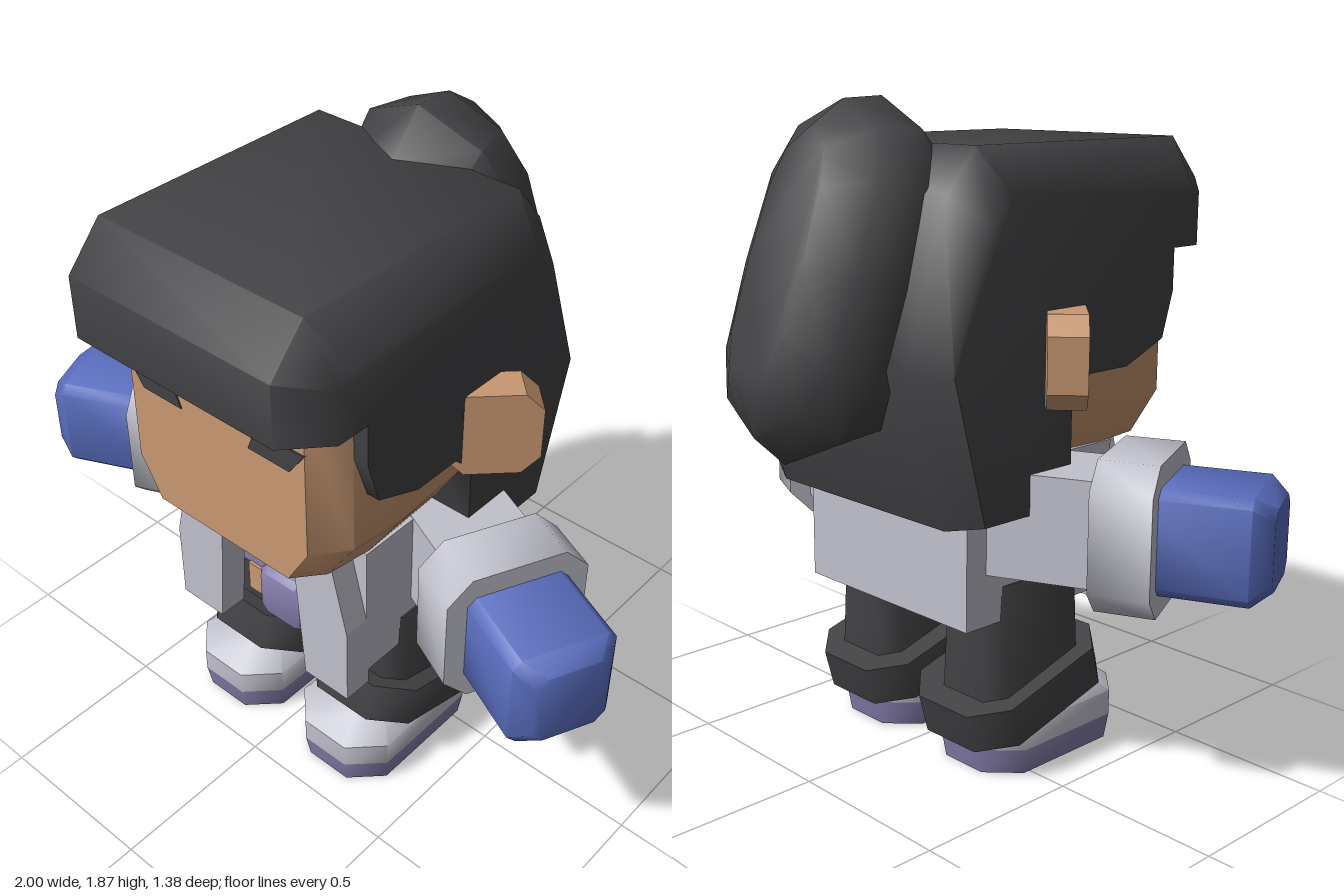
import * as THREE from 'three';
import { toCreasedNormals } from 'three/addons/utils/BufferGeometryUtils.js';

const material = (name, color) => Object.assign(new THREE.MeshStandardMaterial({ color }), { name });

// Rectangle with cut corners, half sizes a and b, corner cut c
const oct = (a, b, c) => [
  [a, c - b], [a, b - c], [a - c, b], [c - a, b],
  [-a, b - c], [-a, c - b], [c - a, -b], [a - c, -b],
];

// Skins a stack of equal-count outlines [depth, points] along +z and caps both ends
function loft(rings, crease = 0.9) {
  const flip = THREE.ShapeUtils.isClockWise(rings[0][1].map(([x, y]) => ({ x, y })));
  const loops = rings.map(([d, p]) => (flip ? [...p].reverse() : p).map(([x, y]) => new THREE.Vector3(x, y, d)));
  const n = loops[0].length;
  const index = [];
  for (let r = 0; r < loops.length - 1; r++) {
    for (let i = 0; i < n; i++) {
      const j = (i + 1) % n, a = r * n, b = a + n;
      index.push(a + i, a + j, b + j, a + i, b + j, b + i);
    }
  }
  const last = (loops.length - 1) * n;
  for (const [a, b, c] of THREE.ShapeUtils.triangulateShape(loops[0], [])) index.push(c, b, a);
  for (const [a, b, c] of THREE.ShapeUtils.triangulateShape(loops[loops.length - 1], [])) {
    index.push(last + a, last + b, last + c);
  }
  const g = new THREE.BufferGeometry().setFromPoints(loops.flat());
  g.setIndex(index);
  return toCreasedNormals(g, crease);
}

// Same, stacked upwards along y
const loftY = (rings) => loft(rings).rotateX(-Math.PI / 2);

const plate = (points, depth) => new THREE.ExtrudeGeometry(
  new THREE.Shape(points.map(([x, y]) => new THREE.Vector2(x, y))), { depth, bevelEnabled: false });

export function createModel() {
  const dark = material('charcoal', 0x424245);
  const skin = material('skin', 0xc99872);
  const coat = material('paleGrey', 0xc1c1cd);
  const blue = material('blue', 0x586cbd);
  const purple = material('mutedPurple', 0x8680ad);

  const model = new THREE.Group();
  model.name = 'figure';
  const add = (name, geometry, mat, x = 0, y = 0, z = 0, parent = model) => {
    const mesh = new THREE.Mesh(geometry, mat);
    mesh.name = name;
    mesh.position.set(x, y, z);
    parent.add(mesh);
    return mesh;
  };
  const box = (name, mat, [w, h, d], [x, y, z]) => add(name, new THREE.BoxGeometry(w, h, d), mat, x, y, z);

  // Hair: side profile (z, y), drawn in at the outer cheeks
  const hairline = [[0.07, 1.08], [0.14, 1.14], [0.29, 1.14], [0.44, 1.2], [0.48, 1.33], [0.48, 1.45]];
  const inner = [[0.69, 1.45], [0.69, 1.63], [0.58, 1.75], [-0.2, 1.75], [-0.3, 1.63],
    [-0.43, 1.2], [-0.3, 0.77], [0.07, 0.77], ...hairline];
  const outer = [[0.58, 1.45], [0.58, 1.6], [0.54, 1.63], [-0.16, 1.63], [-0.23, 1.56],
    [-0.36, 1.2], [-0.25, 0.79], [0.07, 0.79], ...hairline];
  add('hair', loft([[-0.44, outer], [-0.34, inner], [0.34, inner], [0.44, outer]]).rotateY(-Math.PI / 2), dark);

  // Ponytail: rounded outline (x, length) swelling and closing towards the back
  const half = [[0.19, 0.415], [0.265, 0.27], [0.28, 0], [0.265, -0.27], [0.19, -0.41]];
  const tail = [[0, 0.5], ...half, [0, -0.5], ...half.map(([x, y]) => [-x, y]).reverse()];
  const tailRing = (d, sx, sy) => [d, tail.map(([x, y]) => [x * sx, 1.18 + y * sy])];
  add('ponytail', loft([
    tailRing(0.4, 0.7, 0.62), tailRing(0.707, 0.95, 0.85), tailRing(0.84, 1, 1),
    tailRing(0.96, 0.82, 0.9), tailRing(1.037, 0.4, 0.7),
  ]).rotateY(Math.PI).rotateX(0.352), dark);

  // Face: rounded jaw, narrowing to a flat front
  const faceRing = (d, w, jaw) => [d, [[w, 1.5], [w, jaw], [w * 0.77, 0.9], [-w * 0.77, 0.9], [-w, jaw], [-w, 1.5]]];
  add('face', loft([
    faceRing(0, 0.4, 1.05), faceRing(0.34, 0.42, 1.05), faceRing(0.48, 0.395, 1.04), faceRing(0.56, 0.31, 1.02),
  ], 0.75), skin);

  // Torso: coat wrapped round the sides and back, shirt and belt in the gap
  const wrap = [[-0.33, -0.36], [-0.33, 0.21], [0.33, 0.21], [0.33, -0.36],
    [0.25, -0.36], [0.25, 0.13], [-0.25, 0.13], [-0.25, -0.36]];
  add('coatBody', loftY([[0.46, wrap], [0.9, wrap]]), coat);
  box('coatLining', coat, [0.52, 0.36, 0.36], [0, 0.72, 0.04]);
  box('shirt', purple, [0.5, 0.34, 0.12], [0, 0.73, 0.27]);
  box('belt', skin, [0.3, 0.1, 0.12], [0, 0.515, 0.28]);
  add('buckle', loft([[0.26, oct(0.09, 0.09, 0.025)], [0.345, oct(0.09, 0.09, 0.025)],
    [0.365, oct(0.075, 0.075, 0.02)]]), purple, 0, 0.52, 0);

  for (const s of [1, -1]) {
    const side = s > 0 ? 'left' : 'right';
    const mirror = (points) => points.map(([x, y]) => [x * s, y]);

    add(side + 'Eye', plate(mirror([[0.313, 1.34], [0.147, 1.335], [0.12, 1.267], [0.26, 1.267]]), 0.006), dark, 0, 0, 0.558);
    add(side + 'CoatFront', plate(mirror([[0.13, 0.9], [0.27, 0.9], [0.33, 0.66], [0.33, 0.41], [0.17, 0.41]]), 0.09),
      coat, 0, 0, 0.35);

    const ear = oct(0.125, 0.125, 0.05);
    add(side + 'Ear', loft([[-0.053, ear], [0.053, ear]], 0.7), skin, s * 0.46, 1.205, 0.02).rotation.y = s * Math.PI / 4;

    // Arm: runs along its own z, swung forward
    const arm = new THREE.Group();
    arm.name = side + 'Arm';
    arm.position.set(s * 0.62, 0.755, 0.15);
    arm.rotation.y = s * 1.14;
    model.add(arm);
    add(side + 'Sleeve', new THREE.BoxGeometry(0.28, 0.295, 0.4), coat, 0, 0, -0.2, arm);
    const cuff = oct(0.205, 0.207, 0.07);
    add(side + 'SleeveCuff', loft([[-0.083, cuff], [0.083, cuff]]), coat, 0, 0, 0, arm);
    add(side + 'Hand', loft([[0, oct(0.147, 0.145, 0.025)], [0.32, oct(0.147, 0.145, 0.025)],
      [0.372, oct(0.105, 0.11, 0.03)]]), blue, 0, 0, 0, arm);

    // Leg, tilted trouser cuff and shoe
    const leg = new THREE.Group();
    leg.name = side + 'Leg';
    leg.position.x = s * 0.215;
    model.add(leg);
    add(side + 'Trouser', loftY([[0.15, oct(0.135, 0.19, 0.05)], [0.56, oct(0.11, 0.19, 0.05)]]), dark, s * 0.01, 0, 0.07, leg);
    const hem = oct(0.187, 0.26, 0.09);
    add(side + 'TrouserCuff', loftY([[-0.06, hem], [0.06, hem]]), dark, 0, 0.215, 0.075, leg).rotation.x = -0.27;
    const sole = oct(0.168, 0.268, 0.09);
    add(side + 'Sole', loftY([[0, oct(0.158, 0.255, 0.085)], [0.075, sole]]), purple, 0, 0, 0.147, leg);
    add(side + 'Shoe', loftY([[0.075, sole], [0.15, sole], [0.21, oct(0.11, 0.185, 0.06)]]), coat, 0, 0, 0.147, leg);
  }
  return model;
}
